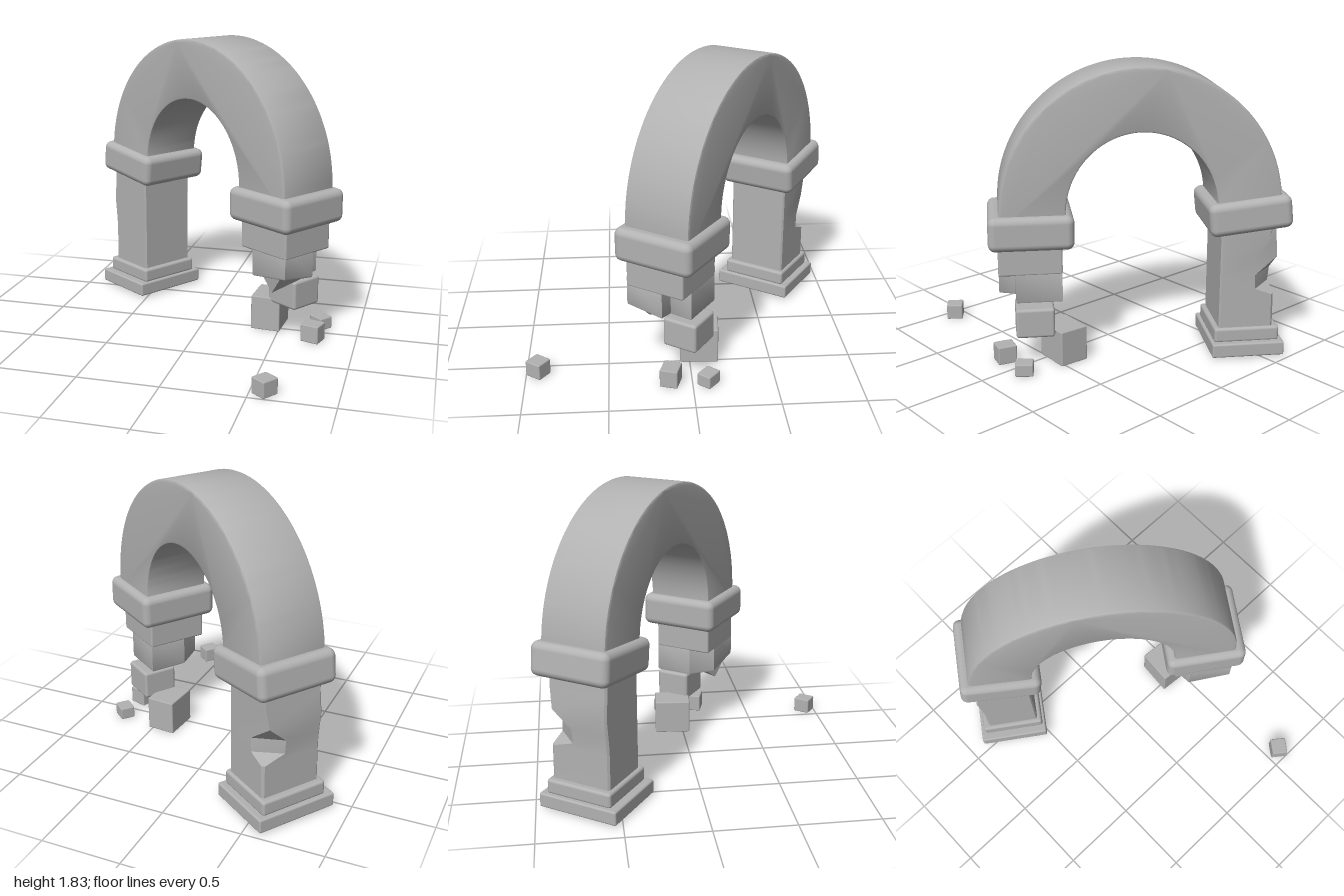
import * as THREE from 'three';
import { toCreasedNormals } from 'three/addons/utils/BufferGeometryUtils.js';
import { RoundedBoxGeometry } from 'three/addons/geometries/RoundedBoxGeometry.js';
import { ConvexGeometry } from 'three/addons/geometries/ConvexGeometry.js';

const stone = new THREE.MeshStandardMaterial({ color: 0xb2b2b2 });
stone.name = 'grey stone';

function add(parent, name, geometry, x = 0, y = 0, z = 0) {
  const mesh = new THREE.Mesh(geometry, stone);
  mesh.name = name;
  mesh.position.set(x, y, z);
  parent.add(mesh);
  return mesh;
}

// Softened stone block standing on height y
function block(parent, name, [w, h, d], [x, y, z], radius = 0.015, segments = 2) {
  return add(parent, name, new RoundedBoxGeometry(w, h, d, segments, radius), x, y + h / 2, z);
}

// Side walls through stacked rings of [x, y, z] points
function loft(rings) {
  const n = rings[0].length;
  const index = [];
  for (let i = 0; i < rings.length - 1; i++) {
    for (let j = 0; j < n; j++) {
      const a = i * n + j, b = i * n + (j + 1) % n;
      index.push(a, b, b + n, a, b + n, a + n);
    }
  }
  const g = new THREE.BufferGeometry();
  g.setAttribute('position', new THREE.Float32BufferAttribute(rings.flat(2), 3));
  g.setIndex(index);
  return toCreasedNormals(g, 0.35);
}

function bevelled(shape, depth, bevel) {
  return new THREE.ExtrudeGeometry(shape, {
    depth: depth - 2 * bevel, bevelThickness: bevel, bevelSize: bevel,
    bevelOffset: -bevel, bevelSegments: 2, curveSegments: 28,
  });
}

export function createModel() {
  const model = new THREE.Group();
  model.name = 'ruinedArch';

  // The gateway stands at an angle
  const gate = new THREE.Group();
  gate.name = 'gateway';
  gate.position.z = -0.27;
  gate.rotation.y = -0.6;
  model.add(gate);

  // Round arch
  const s = new THREE.Shape();
  s.moveTo(0.85, 0.88);
  s.lineTo(0.85, 0.97);
  s.absellipse(0, 0.97, 0.85, 0.86, 0, Math.PI, false);
  s.lineTo(-0.85, 0.88);
  s.lineTo(-0.455, 0.88);
  s.lineTo(-0.455, 0.97);
  s.absellipse(0, 0.97, 0.455, 0.48, Math.PI, 0, true);
  s.lineTo(0.455, 0.88);
  s.closePath();
  add(gate, 'arch', toCreasedNormals(bevelled(s, 0.425, 0.014), 0.6), 0, 0, -0.1985);

  // Capitals, the right one knocked out of level
  block(gate, 'rightCapital', [0.51, 0.205, 0.515], [-0.658, 0.823, 0], 0.045, 3).rotation.z = -0.11;
  block(gate, 'leftCapital', [0.51, 0.21, 0.515], [0.66, 0.76, 0], 0.045, 3);

  // Standing pillar: each level is height, half width, and the chip's size along x and z
  const levels = [
    [0.15, 0.172, 0.012, 0.012], [0.4, 0.17, 0.015, 0.015], [0.44, 0.17, 0.12, 0.15],
    [0.53, 0.178, 0.13, 0.15], [0.64, 0.19, 0.15, 0.03], [0.77, 0.175, 0.05, 0.012],
    [0.88, 0.17, 0.012, 0.012],
  ];
  const d = 0.195;
  const rings = levels.map(([y, w, cx, cz]) => [
    [-w, y, d - 0.012], [-w + 0.012, y, d], [0.16, y, d], [0.17, y, d - 0.01],
    [0.17, y, -d + 0.01], [0.16, y, -d], [-w + cx, y, -d], [-w, y, -d + cz],
  ]);
  add(gate, 'standingPillar', loft(rings), -0.662, 0, 0.012);
  block(gate, 'pillarBase', [0.41, 0.095, 0.435], [-0.668, 0.095, 0.015], 0.018);
  block(gate, 'pillarPlinth', [0.455, 0.09, 0.525], [-0.672, 0.012, 0.02], 0.012);

  // Broken pillar hanging under the other capital
  const h = 0.19;
  const broken = new THREE.Shape([
    [-h, -h], [h - 0.1, -h], [h - 0.1, -h + 0.14], [h, -h + 0.14],
    [h, h], [-h + 0.1, h], [-h, h - 0.14],
  ].map(([x, y]) => new THREE.Vector2(x, y)));
  const stump = bevelled(broken, 0.25, 0.012);
  stump.rotateX(Math.PI / 2);
  const p = stump.attributes.position;
  for (let i = 0; i < p.count; i++) {
    // The broken underside rises towards the outer front corner
    if (p.getY(i) < -0.15) p.setY(i, p.getY(i) + 0.14 * Math.max(0, p.getX(i) + p.getZ(i)));
  }
  add(gate, 'brokenPillarLower', toCreasedNormals(stump, 0.6), 0.667, 0.65, 0.009);
  block(gate, 'brokenPillarUpper', [0.385, 0.22, 0.385], [0.667, 0.59, 0.009], 0.012);
  const shard = [
    [0.57, 0.43, 0.12], [0.8, 0.46, 0.18], [0.82, 0.43, 0.0], [0.62, 0.42, -0.05], [0.7, 0.335, 0.15],
  ].map((q) => new THREE.Vector3(...q));
  add(gate, 'brokenPillarShard', new ConvexGeometry(shard));
  block(gate, 'looseBlock', [0.235, 0.185, 0.225], [0.645, 0.197, -0.1], 0.018);

  // Fallen rubble: size, position, turn
  const rubble = [
    [[0.19, 0.225, 0.235], [0.425, 0, -0.065], -0.08],
    [[0.11, 0.08, 0.095], [0.755, 0, -0.095], -0.7],
    [[0.12, 0.115, 0.11], [0.735, 0, 0.13], -0.3],
    [[0.105, 0.1, 0.11], [0.587, 0, 0.927], -0.65],
  ];
  rubble.forEach(([size, pos, turn], i) => {
    block(model, 'rubble' + (i + 1), size, pos, 0.008, 1).rotation.y = turn;
  });
  return model;
}
